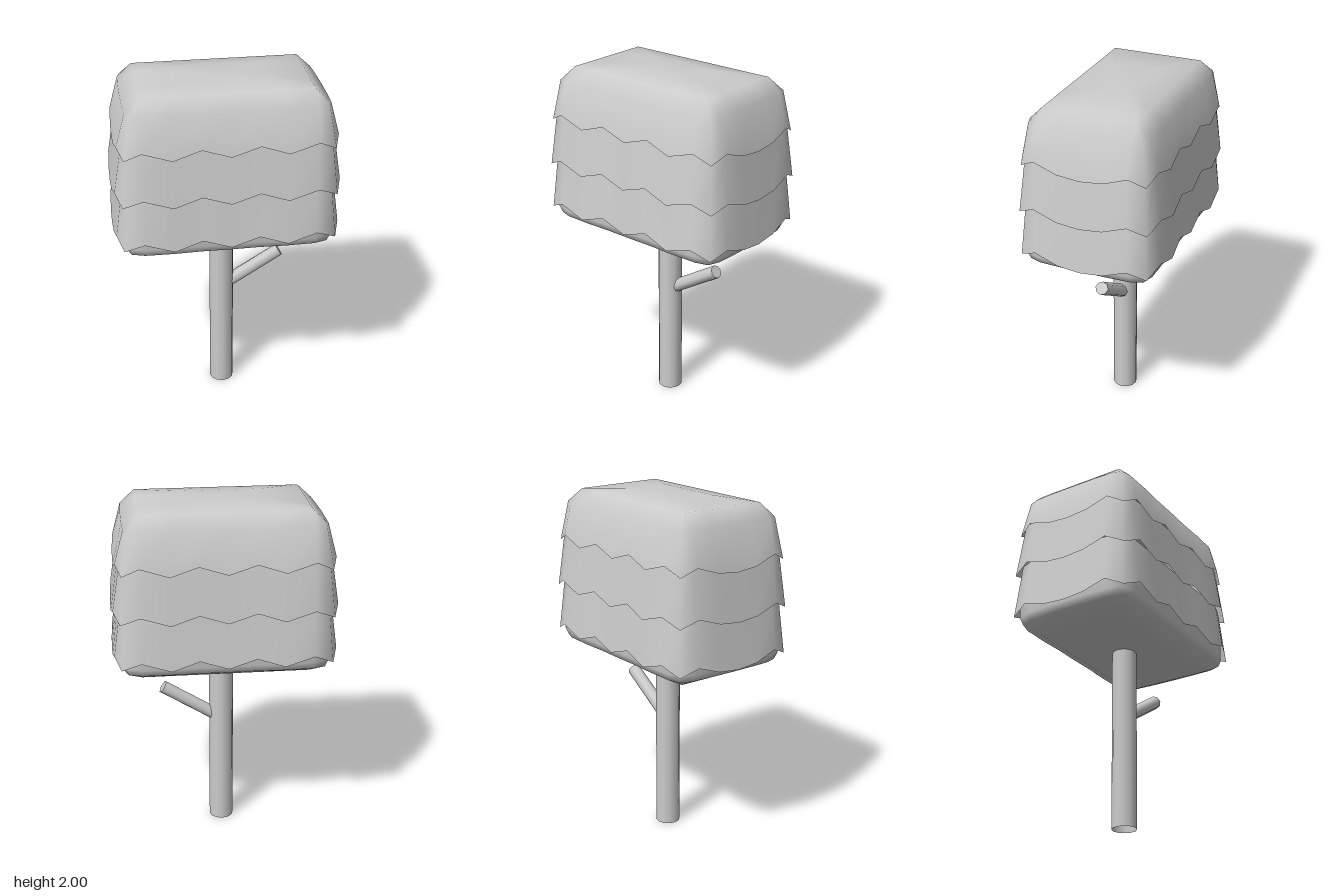
import * as THREE from 'three';
import { mergeVertices } from 'three/addons/utils/BufferGeometryUtils.js';

const solid = new THREE.MeshStandardMaterial({ color: 0xcccccc });
const leafy = new THREE.MeshStandardMaterial({ color: 0xcccccc, side: THREE.DoubleSide });

// Quarter outline of the canopy: [x, z] of the core, [x, z] outward reach, hem lift
const quarter = [
  [0, 0.26, 0, 0.14, 0],
  [0.157, 0.26, 0, 0.137, 0.05],
  [0.31, 0.26, 0, 0.145, 0],
  [0.465, 0.26, 0.006, 0.14, 0.05],
  [0.465, 0.26, 0.115, 0.105, 0],
  [0.465, 0.26, 0.15, 0.004, 0.045],
  [0.465, 0.13, 0.158, 0, 0],
  [0.465, 0, 0.16, 0, -0.012],
];

// Mirror the quarter into a closed loop, starting at the front and turning to +x
const flip = (pts, sx, sz) => pts.map(([x, z, dx, dz, h]) => [x * sx, z * sz, dx * sx, dz * sz, h]);
const back = quarter.slice(0, -1).reverse();
const outline = [
  ...quarter,
  ...flip(back, 1, -1),
  ...flip(quarter.slice(1), -1, -1),
  ...flip(back.slice(0, -1), -1, 1),
];

// One ring: y height, d outward reach, s scale of the core, wave strength of the hem
const ring = ({ y, d = 0, s = 1, wave = 0 }) => outline.map(([x, z, dx, dz, h]) =>
  new THREE.Vector3(x * s + dx * d, y + h * wave, z * s + dz * d));

// Skin a list of rings, ordered from top to bottom
function loft(specs) {
  const rings = specs.map(ring);
  const pos = [];
  const tri = (a, b, c) => {
    if (new THREE.Triangle(a, b, c).getArea() > 1e-7) {
      for (const p of [a, b, c]) pos.push(p.x, p.y, p.z);
    }
  };
  for (let r = 0; r < rings.length - 1; r++) {
    for (let i = 0; i < outline.length; i++) {
      const j = (i + 1) % outline.length;
      const [a, b, c, e] = [rings[r][i], rings[r + 1][i], rings[r + 1][j], rings[r][j]];
      tri(a, b, e);
      tri(b, c, e);
    }
  }
  const geo = new THREE.BufferGeometry();
  geo.setAttribute('position', new THREE.Float32BufferAttribute(pos, 3));
  const merged = mergeVertices(geo, 1e-4);
  merged.computeVertexNormals();
  return merged;
}

export function createModel() {
  const model = new THREE.Group();
  const add = (name, geo, mat, parent = model) => {
    const mesh = new THREE.Mesh(geo, mat);
    mesh.name = name;
    parent.add(mesh);
    return mesh;
  };

  // Trunk
  add('trunk', new THREE.CylinderGeometry(0.07, 0.07, 1.08, 12, 1, true).translate(0, 0.54, 0), leafy);

  // Side branch, leaning up towards +x
  const start = new THREE.Vector3(0.04, 0.68, 0);
  const end = new THREE.Vector3(0.34, 0.868, 0);
  const axis = end.clone().sub(start);
  const branch = add('branch', new THREE.CylinderGeometry(0.038, 0.038, axis.length(), 8), solid);
  branch.position.copy(start).lerp(end, 0.5);
  branch.quaternion.setFromUnitVectors(new THREE.Vector3(0, 1, 0), axis.normalize());

  const canopy = new THREE.Group();
  canopy.name = 'canopy';
  model.add(canopy);

  // Domed top layer with the first zigzag hem
  add('topLeaves', loft([
    { y: 2, s: 0 },
    { y: 1.993, s: 0.5 },
    { y: 1.975 },
    { y: 1.9, d: 0.54 },
    { y: 1.67, d: 0.87, wave: 1 },
  ]), leafy, canopy);

  // Two flared skirts tucked under the layer above
  add('middleLeaves', loft([
    { y: 1.74, d: 0.69 },
    { y: 1.403, d: 1, wave: 1 },
  ]), leafy, canopy);
  add('lowerLeaves', loft([
    { y: 1.47, d: 0.74 },
    { y: 1.14, d: 1, wave: 1 },
  ]), leafy, canopy);

  // Rounded underside
  add('canopyBase', loft([
    { y: 1.24, d: 0.8 },
    { y: 1.14, d: 0.78 },
    { y: 1.1, d: 0.66 },
    { y: 1.052 },
    { y: 1.052, s: 0 },
  ]), leafy, canopy);

  return model;
}
